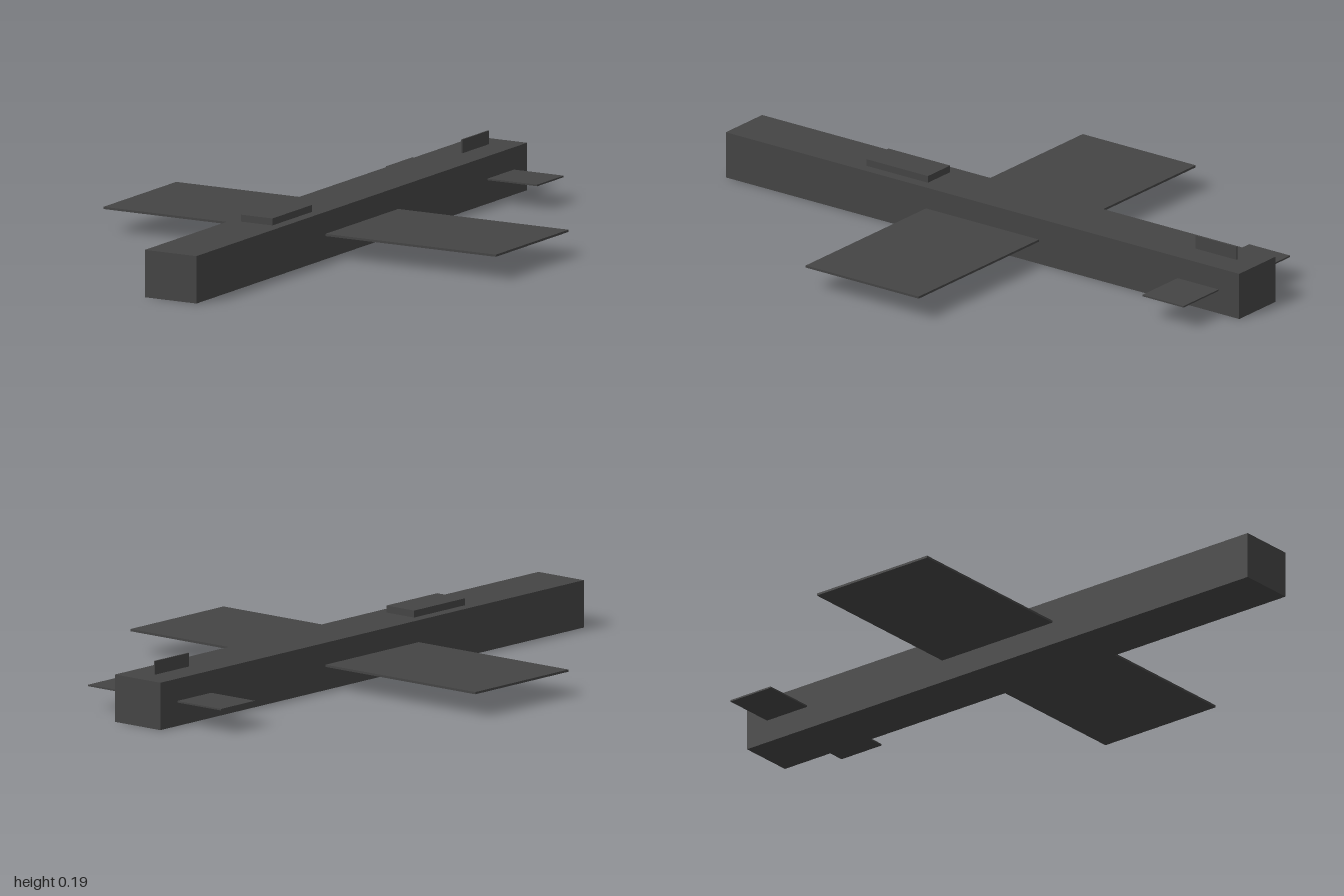
import * as THREE from 'three';

export function createModel() {
  const model = new THREE.Group();
  const material = new THREE.MeshStandardMaterial({ color: 0x444444, flatShading: true });

  // Adds a named box by its size and centre.
  const addBox = (name, size, centre) => {
    const mesh = new THREE.Mesh(new THREE.BoxGeometry(...size), material);
    mesh.name = name;
    mesh.position.set(...centre);
    model.add(mesh);
  };

  const bodyWidth = 0.186, bodyHeight = 0.15, midHeight = 0.077;

  addBox('fuselage', [bodyWidth, bodyHeight, 2], [0, bodyHeight / 2, 0]);

  // Thin plates running through the fuselage
  addBox('wing', [1.415, 0.007, 0.44], [0, midHeight, 0]);
  addBox('tailplane', [0.545, 0.005, 0.16], [0, midHeight, -0.84]);

  // Parts on top, sunk slightly into the fuselage
  addBox('canopy', [0.114, 0.1, 0.24], [0, 0.122, 0.36]);
  addBox('tailFin', [0.005, 0.1, 0.16], [0, 0.143, -0.84]);

  return model;
}
